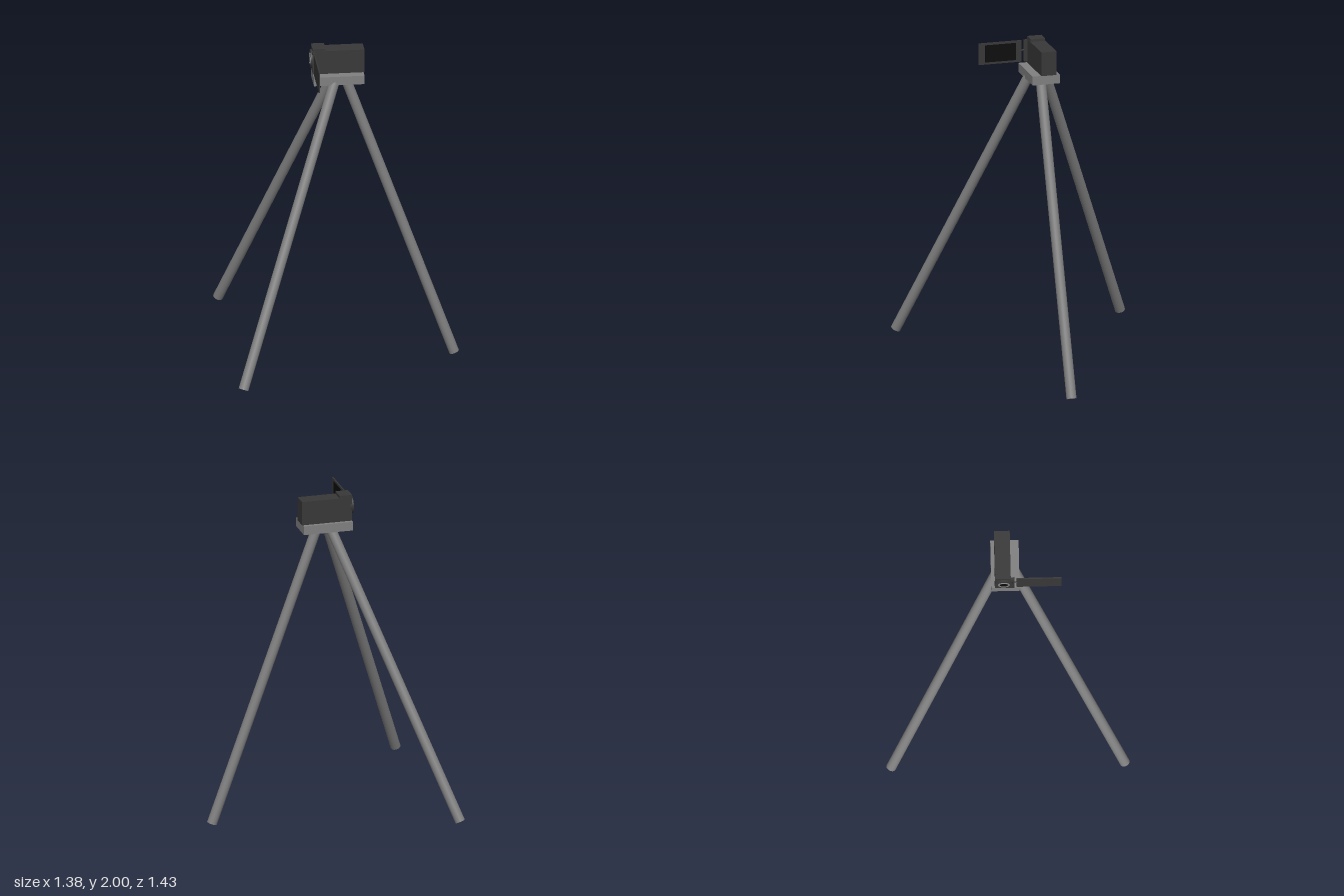
import * as THREE from 'three';

const mat = (color) => new THREE.MeshStandardMaterial({ color });

export function createModel() {
  const model = new THREE.Group();
  const grey = mat(0x808080), dark = mat(0x383838), black = mat(0x0c0c0c);

  const add = (name, geometry, material, x, y, z) => {
    const mesh = new THREE.Mesh(geometry, material);
    mesh.name = name;
    mesh.position.set(x, y, z);
    model.add(mesh);
    return mesh;
  };
  // Box given by its lower and upper corners
  const box = (name, material, [x0, y0, z0], [x1, y1, z1]) =>
    add(name, new THREE.BoxGeometry(x1 - x0, y1 - y0, z1 - z0), material,
      (x0 + x1) / 2, (y0 + y1) / 2, (z0 + z1) / 2);
  // Round bar between two points
  const bar = (name, material, from, to, radius, sides = 20) => {
    const a = new THREE.Vector3(...from), b = new THREE.Vector3(...to);
    const dir = b.clone().sub(a);
    const mid = a.clone().add(b).multiplyScalar(0.5);
    const mesh = add(name, new THREE.CylinderGeometry(radius, radius, dir.length(), sides),
      material, mid.x, mid.y, mid.z);
    mesh.quaternion.setFromUnitVectors(new THREE.Vector3(0, 1, 0), dir.normalize());
    return mesh;
  };

  // Tripod: one leg along +x, two splayed behind it
  bar('sideLeg', grey, [0.01, 1.81, 0], [0.658, 0.01, 0], 0.03);
  for (const s of [-1, 1]) {
    bar(s > 0 ? 'frontLeg' : 'backLeg', grey,
      [-0.05, 1.81, s * 0.045], [-0.664, 0.125, s * 0.688], 0.03);
  }

  // Mounting plate
  box('mountingPlate', grey, [-0.18, 1.786, -0.088], [0.12, 1.84, 0.079]);

  // Camcorder body and raised top block
  box('cameraBody', dark, [-0.18, 1.84, -0.066], [0.125, 1.985, 0.027]);
  box('topBlock', dark, [-0.182, 1.98, -0.064], [-0.105, 2.0, 0.025]);

  // Lens facing -x: dark barrel, grey ring, black glass
  const lensY = 1.925, lensZ = -0.014;
  bar('lensBarrel', dark, [-0.17, lensY, lensZ], [-0.192, lensY, lensZ], 0.055, 32);
  const ring = add('lensRing', new THREE.TorusGeometry(0.03, 0.006, 8, 32), grey, -0.191, lensY, lensZ);
  ring.rotation.y = Math.PI / 2;
  bar('lensGlass', black, [-0.18, lensY, lensZ], [-0.194, lensY, lensZ], 0.024, 32);

  // Hinge and fold-out screen, its display facing +x
  box('hingeBlock', dark, [-0.184, 1.85, 0.02], [-0.165, 1.98, 0.048]);
  bar('hingePin', dark, [-0.174, 1.918, 0.04], [-0.174, 1.918, 0.07], 0.005, 12);
  box('screenPanel', dark, [-0.178, 1.849, 0.062], [-0.17, 1.98, 0.325]);
  box('screenDisplay', black, [-0.172, 1.862, 0.095], [-0.168, 1.967, 0.285]);

  return model;
}
